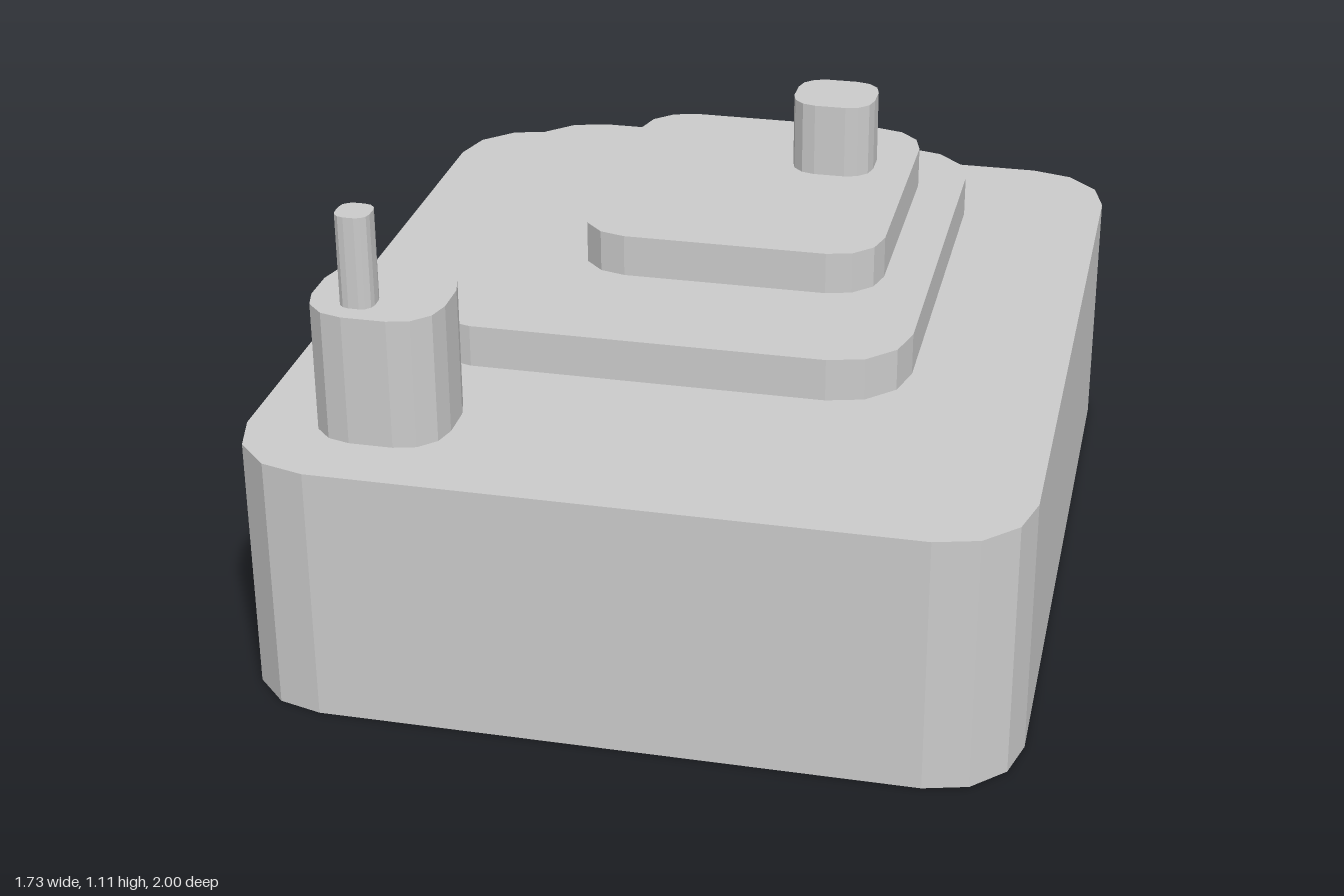
import * as THREE from 'three';

const material = new THREE.MeshStandardMaterial({ color: 0xcccccc, flatShading: true });

// Upright block with a rounded-rectangle plan, three facets per corner
function roundedBlock(name, [x0, x1], [z0, z1], [y0, y1], r) {
  const w = (x1 - x0) / 2 - r, d = (z1 - z0) / 2 - r;
  const plan = new THREE.Shape();
  [[w, d], [-w, d], [-w, -d], [w, -d]].forEach(([cx, cy], i) => {
    for (let k = 0; k <= 3; k++) {
      const a = (i + k / 3) * Math.PI / 2;
      const x = cx + r * Math.cos(a), y = cy + r * Math.sin(a);
      if (i + k === 0) plan.moveTo(x, y);
      else plan.lineTo(x, y);
    }
  });
  plan.closePath();
  const geometry = new THREE.ExtrudeGeometry(plan, { depth: y1 - y0, bevelEnabled: false });
  geometry.rotateX(-Math.PI / 2);
  const mesh = new THREE.Mesh(geometry, material);
  mesh.name = name;
  mesh.position.set((x0 + x1) / 2, y0, (z0 + z1) / 2);
  return mesh;
}

export function createModel() {
  const model = new THREE.Group();
  model.name = 'steppedBlock';
  model.add(
    // Main body
    roundedBlock('base', [-0.865, 0.865], [-1, 1], [0, 0.6], 0.197),
    // Stepped tiers and the post on top of them
    roundedBlock('lowerTier', [-0.637, 0.522], [-0.84, 0.435], [0.6, 0.7], 0.17),
    roundedBlock('upperTier', [-0.31, 0.41], [-0.715, 0.092], [0.7, 0.8], 0.12),
    roundedBlock('post', [0.115, 0.316], [-0.562, -0.376], [0.8, 0.98], 0.063),
    // Corner tower and its mast
    roundedBlock('tower', [-0.716, -0.417], [0.566, 0.848], [0.6, 0.9], 0.1),
    roundedBlock('mast', [-0.641, -0.564], [0.722, 0.802], [0.9, 1.11], 0.027),
  );
  return model;
}
